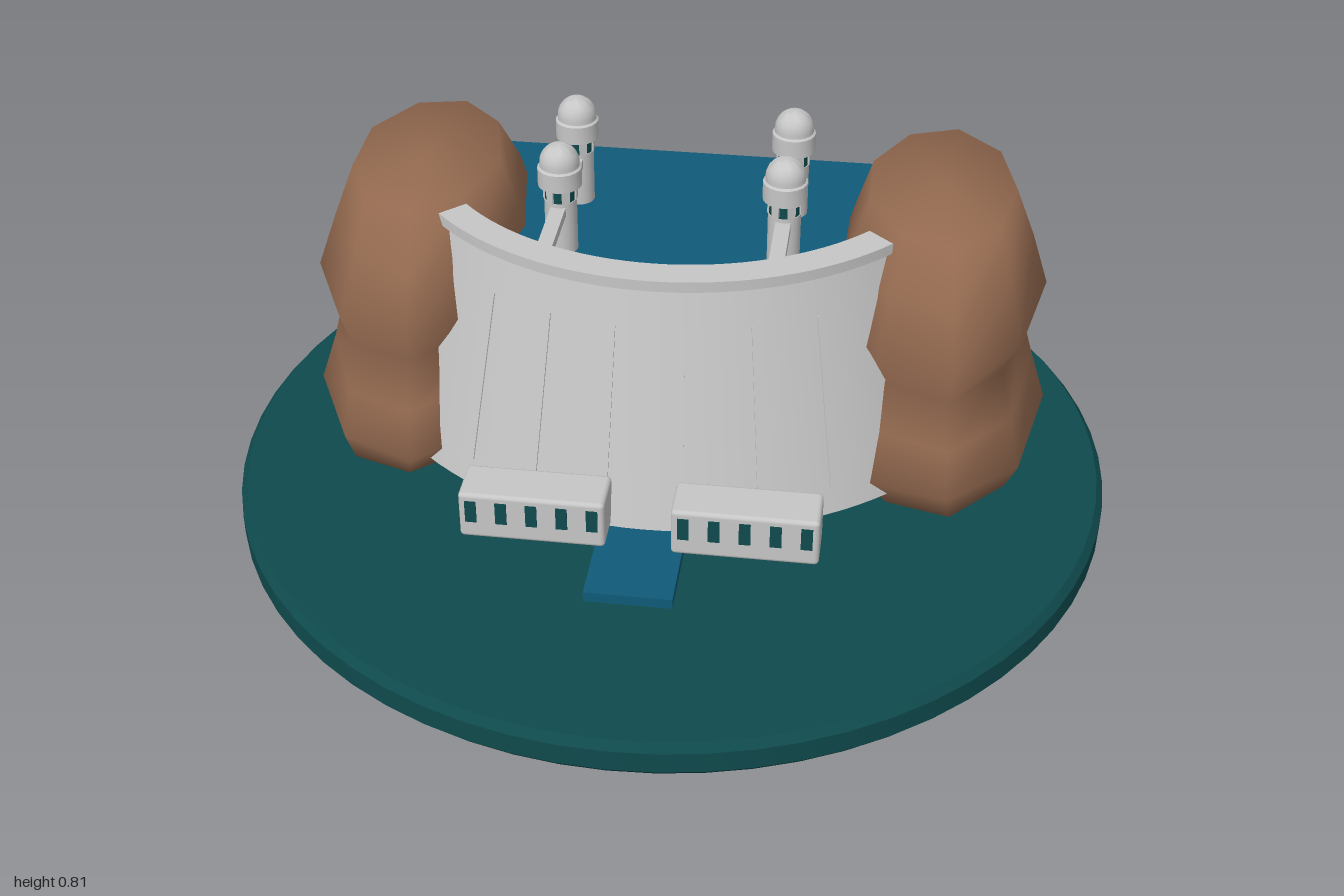
import * as THREE from 'three';
import { toCreasedNormals } from 'three/addons/utils/BufferGeometryUtils.js';
import { RoundedBoxGeometry } from 'three/addons/geometries/RoundedBoxGeometry.js';

const mat = (name, color) => {
  const m = new THREE.MeshStandardMaterial({ color });
  m.name = name;
  return m;
};
const teal = mat('dark teal', 0x0f4a4d);
const water = mat('water blue', 0x105a78);
const concrete = mat('concrete grey', 0xc6c6c6);
concrete.side = THREE.DoubleSide;
const stone = mat('rock brown', 0x946a50);

const V = (x, y) => new THREE.Vector2(x, y);
const ARC = 0.83; // half angle of the dam
const AXIS_Z = -0.39; // centre of the dam's curve

function add(parent, name, geometry, material, x = 0, y = 0, z = 0) {
  const mesh = new THREE.Mesh(geometry, material);
  mesh.name = name;
  mesh.position.set(x, y, z);
  parent.add(mesh);
  return mesh;
}

// Closed (radius, height) profile swept round part of a circle, with end caps
function addArc(parent, name, profile, from, to, segments) {
  const group = new THREE.Group();
  group.name = name;
  group.position.z = AXIS_Z;
  const lathe = new THREE.LatheGeometry([...profile, profile[0]], segments, from, to - from);
  add(group, name + 'Surface', toCreasedNormals(lathe, 0.5), concrete);
  for (const phi of [from, to]) {
    const cap = new THREE.ShapeGeometry(new THREE.Shape(profile));
    add(group, name + 'End', cap.rotateY(phi - Math.PI / 2), concrete);
  }
  parent.add(group);
}

// Lumpy cliff lofted through rings: [y, xInner, xOuter, zBack, zFront]
function rockGeometry(side, phase) {
  const rings = [
    [0.08, 0.41, 0.82, -0.57, 0.2],
    [0.18, 0.34, 0.85, -0.62, 0.275],
    [0.29, 0.37, 0.82, -0.585, 0.235],
    [0.4, 0.4, 0.79, -0.555, 0.2],
    [0.49, 0.35, 0.83, -0.595, 0.245],
    [0.61, 0.38, 0.79, -0.52, 0.175],
    [0.725, 0.42, 0.75, -0.44, 0.1],
  ];
  const n = 9, pos = [], index = [];
  rings.forEach(([y, x0, x1, z0, z1], r) => {
    for (let i = 0; i < n; i++) {
      const a = phase + (i / n) * Math.PI * 2;
      const k = 1.01 + 0.02 * Math.sin(i * 2.3 + r * 1.7);
      pos.push(side * (x0 + x1) / 2 + k * Math.cos(a) * (x1 - x0) / 2, y,
        (z0 + z1) / 2 - k * Math.sin(a) * (z1 - z0) / 2);
    }
  });
  const last = (rings.length - 1) * n;
  pos.push(side * 0.61, 0.08, -0.18, side * 0.59, 0.725, -0.17);
  const bottom = rings.length * n, top = bottom + 1;
  for (let i = 0; i < n; i++) {
    const j = (i + 1) % n;
    for (let r = 0; r < last; r += n) index.push(r + i, r + j, r + n + j, r + i, r + n + j, r + n + i);
    index.push(bottom, j, i, top, last + i, last + j);
  }
  const g = new THREE.BufferGeometry();
  g.setAttribute('position', new THREE.Float32BufferAttribute(pos, 3));
  g.setIndex(index);
  g.computeVertexNormals();
  return g;
}

// Intake tower with a glazed band, collar and domed cap
function addTower(parent, x, z) {
  const tower = new THREE.Group();
  tower.name = 'intakeTower';
  tower.position.set(x, 0, z);
  add(tower, 'shaft', new THREE.CylinderGeometry(0.037, 0.037, 0.53, 20), concrete, 0, 0.415, 0);
  add(tower, 'windowBand', new THREE.CylinderGeometry(0.035, 0.035, 0.04, 20), teal, 0, 0.7, 0);
  for (let i = 0; i < 6; i++) {
    const a = ((i + 0.5) / 6) * Math.PI * 2;
    const post = add(tower, 'windowPost', new THREE.BoxGeometry(0.018, 0.04, 0.008), concrete,
      Math.sin(a) * 0.034, 0.7, Math.cos(a) * 0.034);
    post.rotation.y = a;
  }
  const cap = [V(0, 0.715), V(0.05, 0.715), V(0.05, 0.758), V(0.045, 0.762)];
  for (let i = 0; i <= 6; i++) {
    const a = (i / 6) * Math.PI / 2;
    cap.push(V(0.045 * Math.cos(a), 0.77 + 0.045 * Math.sin(a)));
  }
  add(tower, 'domedCap', toCreasedNormals(new THREE.LatheGeometry(cap, 20), 0.6), concrete);
  parent.add(tower);
}

export function createModel() {
  const model = new THREE.Group();
  model.name = 'archDam';

  // Round base with bevelled rim
  const rim = [V(0, 0), V(0.985, 0), V(1, 0.018), V(1, 0.067), V(0.985, 0.085), V(0, 0.085)];
  add(model, 'base', toCreasedNormals(new THREE.LatheGeometry(rim, 64), 0.4), teal);

  // Canyon walls
  add(model, 'leftCliff', rockGeometry(1, 0), stone);
  add(model, 'rightCliff', rockGeometry(-1, 1.37), stone);

  const works = new THREE.Group();
  works.name = 'damWorks';
  works.position.x = -0.012;
  model.add(works);

  // Curved wall, crest and vertical joints
  addArc(works, 'damWall', [V(0.79, 0.14), V(0.657, 0.68), V(0.612, 0.68), V(0.612, 0.14)], -ARC, ARC, 32);
  addArc(works, 'crest', [V(0.673, 0.68), V(0.673, 0.705), V(0.602, 0.705), V(0.602, 0.68)], -ARC, ARC, 32);
  for (let i = -2.5; i <= 2.5; i++) {
    const a = i * 0.217;
    addArc(works, 'wallJoint', [V(0.778, 0.2), V(0.682, 0.59), V(0.67, 0.59), V(0.766, 0.2)], a - 0.004, a + 0.004, 1);
  }

  // Reservoir filling the space behind the wall
  const outline = [V(-0.48, 0.57), V(-0.448, 0.02)];
  for (let i = 0; i <= 24; i++) {
    const a = -0.82 + (i / 24) * 1.64;
    outline.push(V(0.612 * Math.sin(a), -AXIS_Z - 0.612 * Math.cos(a)));
  }
  outline.push(V(0.48, 0.57));
  const lake = new THREE.ExtrudeGeometry(new THREE.Shape(outline), { depth: 0.41, bevelEnabled: false });
  add(works, 'reservoir', lake.rotateX(-Math.PI / 2), water, 0, 0.14, 0);

  // Outflow channel
  add(works, 'outflow', new THREE.BoxGeometry(0.19, 0.024, 0.4), water, 0, 0.124, 0.418);

  for (const s of [-1, 1]) {
    // Intake towers joined to the crest by a footbridge
    for (const z of [-0.085, -0.315]) addTower(works, s * 0.252, z);
    add(works, 'footbridge', new THREE.BoxGeometry(0.034, 0.022, 0.49), concrete, s * 0.252, 0.66, -0.07);

    // Powerhouse with a row of windows
    const house = new THREE.Group();
    house.name = 'powerhouse';
    house.position.set(s * 0.23, 0.198, 0.42);
    add(house, 'building', new RoundedBoxGeometry(0.318, 0.115, 0.11, 2, 0.01), concrete);
    for (let i = -2; i <= 2; i++) {
      add(house, 'window', new THREE.BoxGeometry(0.025, 0.055, 0.008), teal, i * 0.066, 0.013, 0.053);
    }
    works.add(house);
  }
  return model;
}
